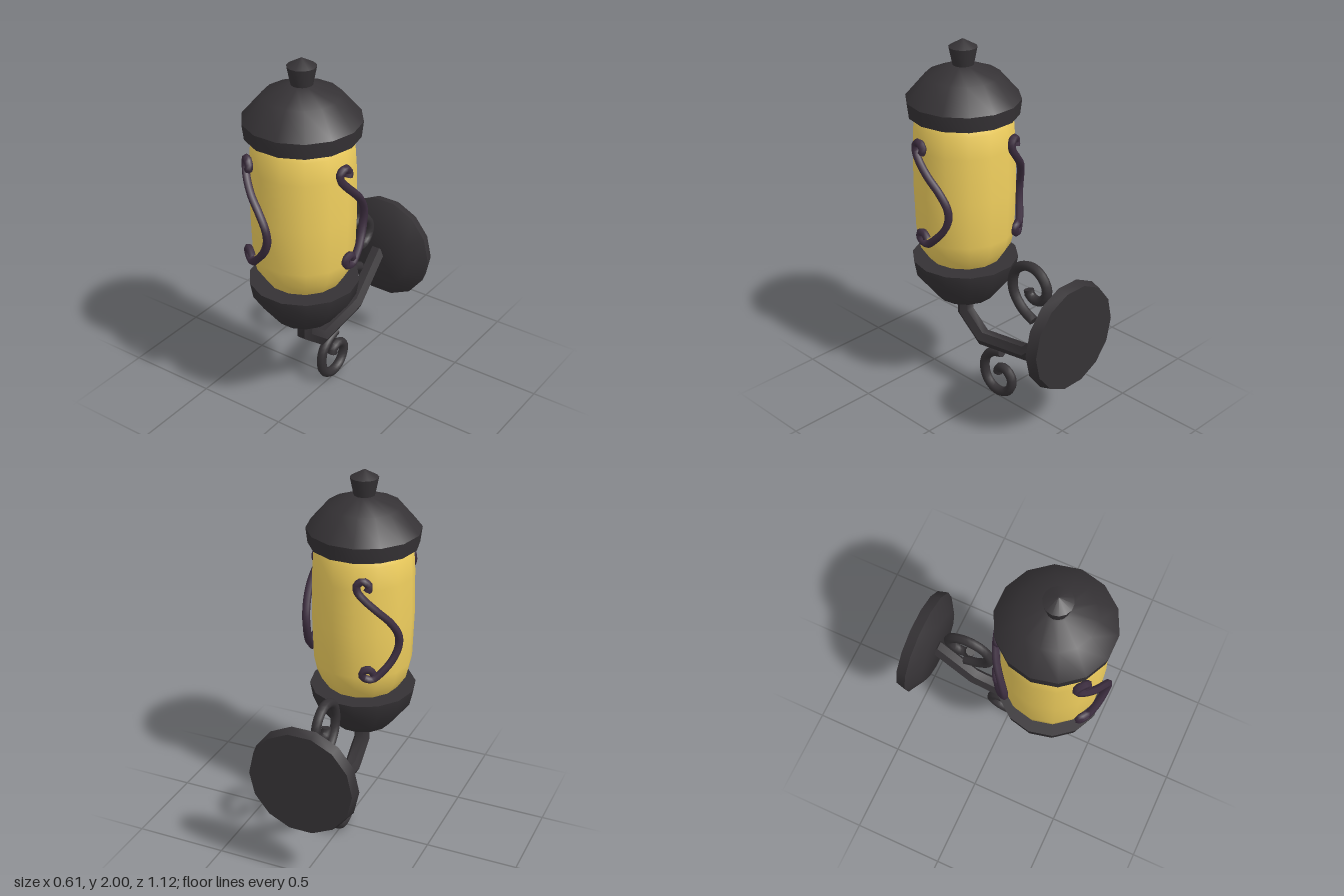
import * as THREE from 'three';
import { toCreasedNormals } from 'three/addons/utils/BufferGeometryUtils.js';

const iron = new THREE.MeshStandardMaterial({ color: 0x353235 });
const purpleIron = new THREE.MeshStandardMaterial({ color: 0x3d2e40 });
const amber = new THREE.MeshStandardMaterial({ color: 0xf0cf5e });

const CX = -0.01, CZ = 0.24; // lantern axis
const SIDES = 14;

function add(parent, name, geometry, material) {
  const mesh = new THREE.Mesh(geometry, material);
  mesh.name = name;
  parent.add(mesh);
  return mesh;
}

// Turned part from [radius, height] pairs, bottom to top
function turned(profile) {
  const points = profile.map(([r, y]) => new THREE.Vector2(r, y));
  return toCreasedNormals(new THREE.LatheGeometry(points, SIDES, Math.PI / 2), 0.75);
}

// Mitred bar following a path of [z, y] points in the plane x = 0
function bar(path, radius, sides) {
  const pts = path.map(([z, y]) => new THREE.Vector2(z, y));
  const dirs = pts.slice(1).map((p, i) => p.clone().sub(pts[i]).normalize());
  const pos = [], index = [];
  pts.forEach((p, i) => {
    const before = dirs[Math.max(i - 1, 0)];
    const after = dirs[Math.min(i, dirs.length - 1)];
    const t = before.clone().add(after).normalize();
    const mitre = 1 / t.dot(after);
    for (let j = 0; j < sides; j++) {
      const a = (j / sides) * Math.PI * 2 + Math.PI / 2;
      const n = Math.cos(a) * radius * mitre;
      pos.push(Math.sin(a) * radius, p.y + t.x * n, p.x - t.y * n);
    }
  });
  const last = (pts.length - 1) * sides;
  for (let j = 0; j < sides; j++) {
    const k = (j + 1) % sides;
    for (let i = 0; i < last; i += sides) {
      index.push(i + j, i + sides + j, i + k, i + k, i + sides + j, i + sides + k);
    }
    if (j > 0 && k > 0) index.push(0, j, k, last, last + k, last + j); // end caps
  }
  const geo = new THREE.BufferGeometry();
  geo.setAttribute('position', new THREE.Float32BufferAttribute(pos, 3));
  geo.setIndex(index);
  return toCreasedNormals(geo, 0.9);
}

// Smooth curl through [z, y] points
function curl(points) {
  const curve = new THREE.CatmullRomCurve3(points.map(([z, y]) => new THREE.Vector3(z, y, 0)));
  return bar(curve.getSpacedPoints(32).map((p) => [p.x, p.y]), 0.027, 8);
}

// S-shaped ornament wrapped around the glass, bowing outward in the middle
function ornament() {
  const path = [
    [-0.175, 1.45], [-0.19, 1.445], [-0.165, 1.455], [-0.155, 1.48], [-0.18, 1.51],
    [-0.205, 1.49], [-0.205, 1.455], [-0.18, 1.41], [-0.125, 1.345], [-0.06, 1.275],
    [-0.015, 1.2], [-0.008, 1.14], [-0.03, 1.075], [-0.085, 1.005], [-0.145, 0.955],
    [-0.185, 0.975], [-0.185, 1.01], [-0.155, 1.015], [-0.14, 0.99],
  ].slice(2);
  const points = path.map(([x, y]) => {
    const bow = Math.max(0, 1 - Math.abs(y - 1.18) / 0.3);
    const r = 0.28 + 0.025 * bow;
    const angle = Math.asin((x - CX) / r);
    return new THREE.Vector3(r * Math.sin(angle), y, r * Math.cos(angle));
  });
  return new THREE.TubeGeometry(new THREE.CatmullRomCurve3(points), 56, 0.021, 6);
}

export function createModel() {
  const model = new THREE.Group();
  model.name = 'wallLantern';

  // Lantern body
  const lantern = new THREE.Group();
  lantern.name = 'lantern';
  lantern.position.set(CX, 0, CZ);
  model.add(lantern);
  add(lantern, 'bowl', turned([[0, 0.56], [0.16, 0.56], [0.272, 0.705], [0.287, 0.79], [0, 0.79]]), iron);
  add(lantern, 'glass', turned([
    [0, 0.798], [0.2, 0.798], [0.247, 0.87], [0.264, 0.95], [0.272, 1.2],
    [0.268, 1.45], [0.26, 1.57], [0.24, 1.612], [0, 1.612],
  ]), amber);
  add(lantern, 'cap', turned([
    [0, 1.608], [0.29, 1.608], [0.3, 1.69], [0.195, 1.812], [0.062, 1.865], [0, 1.87],
  ]), iron);
  add(lantern, 'finial', turned([[0, 1.85], [0.052, 1.85], [0.074, 1.958], [0, 2]]), iron);

  // Three ornaments around the glass
  const ornamentGeometry = ornament();
  for (let i = 0; i < 3; i++) {
    add(lantern, 'ornament', ornamentGeometry, purpleIron).rotation.y = (i * Math.PI * 2) / 3;
  }

  // Bracket arm with its two curls
  const bracket = new THREE.Group();
  bracket.name = 'bracket';
  bracket.position.x = -0.008;
  model.add(bracket);
  add(bracket, 'arm', bar([[0.24, 0.58], [0.24, 0.438], [0.1, 0.323], [-0.23, 0.37], [-0.46, 0.598]], 0.045, 6), iron);
  add(bracket, 'upperCurl', curl([
    [-0.273, 0.582], [-0.19, 0.626], [-0.13, 0.7], [-0.12, 0.775], [-0.151, 0.848],
    [-0.21, 0.886], [-0.273, 0.89], [-0.33, 0.859], [-0.363, 0.8], [-0.352, 0.748],
    [-0.316, 0.716], [-0.273, 0.711], [-0.243, 0.73], [-0.235, 0.757],
  ]), iron);
  add(bracket, 'lowerCurl', curl([
    [-0.04, 0.284], [0.03, 0.26], [0.077, 0.212], [0.092, 0.149], [0.077, 0.085],
    [0.034, 0.042], [-0.024, 0.03], [-0.082, 0.053], [-0.114, 0.101], [-0.114, 0.149],
    [-0.088, 0.18], [-0.05, 0.191], [-0.021, 0.178], [-0.011, 0.146],
  ]), iron);

  // Round plate against the wall
  const plate = turned([[0, -0.057], [0.285, -0.057], [0.3, 0], [0.21, 0.06], [0, 0.06]]);
  add(bracket, 'wallPlate', plate.rotateX(Math.PI / 2), iron).position.set(0, 0.6, -0.5);

  return model;
}
